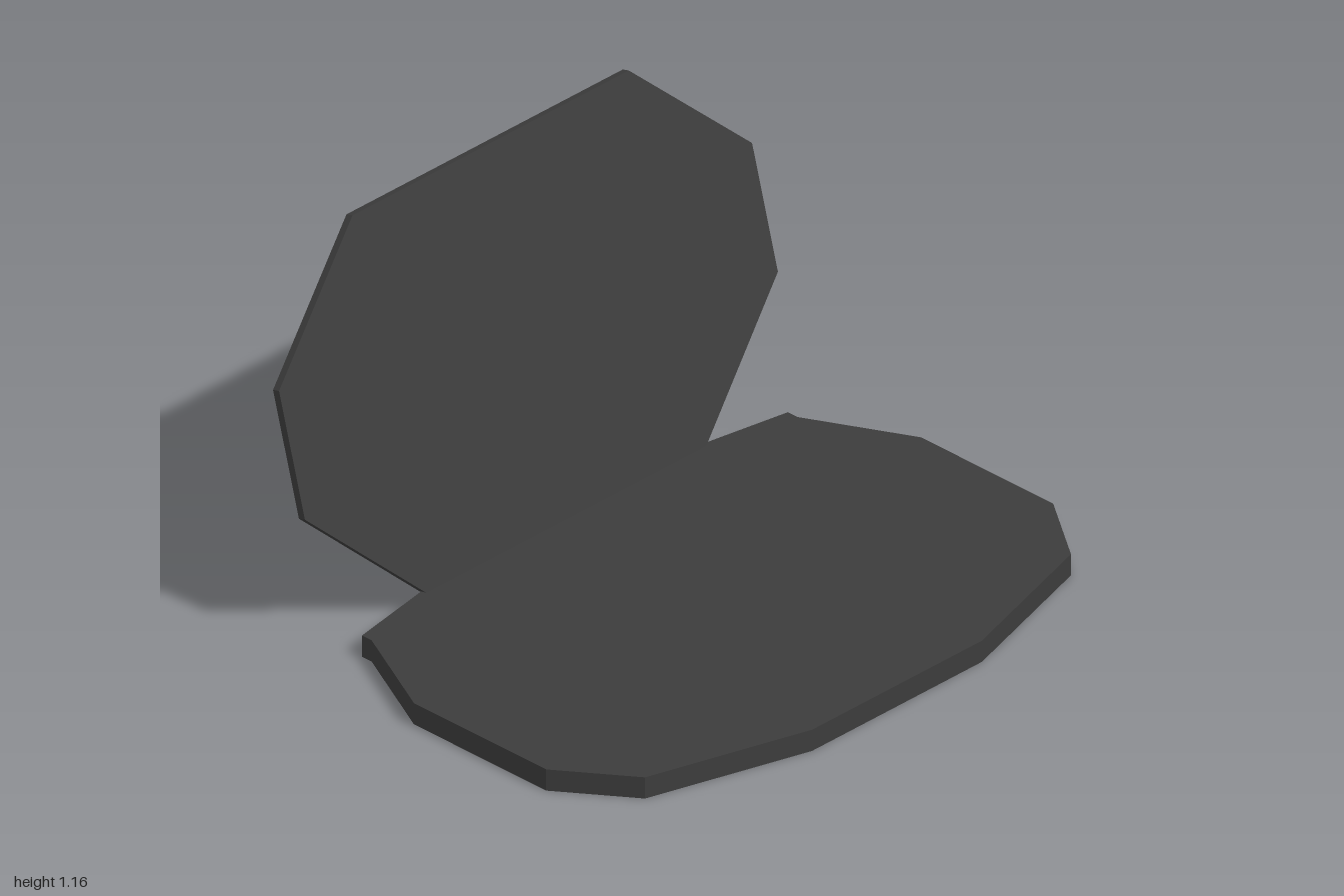
import * as THREE from 'three';

const material = new THREE.MeshStandardMaterial({ color: 0x3c3c3c, flatShading: true });

// Mirrors the +x half of an outline and extrudes it into a flat panel
function panel(name, half, depth) {
  const pts = [...half, ...half.map(([x, y]) => [-x, y]).reverse()];
  const shape = new THREE.Shape(pts.map(([x, y]) => new THREE.Vector2(x, y)));
  const geometry = new THREE.ExtrudeGeometry(shape, { depth, bevelEnabled: false });
  const mesh = new THREE.Mesh(geometry, material);
  mesh.name = name;
  return mesh;
}

export function createModel() {
  const group = new THREE.Group();
  group.name = 'foldingPanels';

  // Base slab, lying flat, outline from front to rear
  const base = panel('base', [
    [0.335, -0.795], [0.84, -0.645], [1, -0.42], [1, 0.09],
    [0.84, 0.41], [0.84, 0.447], [0.55, 0.497],
  ], 0.068);
  base.geometry.rotateX(-Math.PI / 2);
  // Undercut the rear edge so it slopes in towards the bottom
  const p = base.geometry.attributes.position;
  for (let i = 0; i < p.count; i++) {
    if (p.getY(i) < 0.01 && p.getZ(i) < -0.447) p.setZ(i, -0.447);
  }
  base.geometry.computeVertexNormals();
  group.add(base);

  // Thin eight-sided back panel, leaning backwards from the rear edge
  const back = panel('backPanel', [
    [0.55, 0], [0.933, 0.372], [0.933, 0.757], [0.545, 1.128],
  ], 0.024);
  back.rotation.x = -0.262;
  back.position.set(0, 0.06, -0.503);
  group.add(back);

  return group;
}
